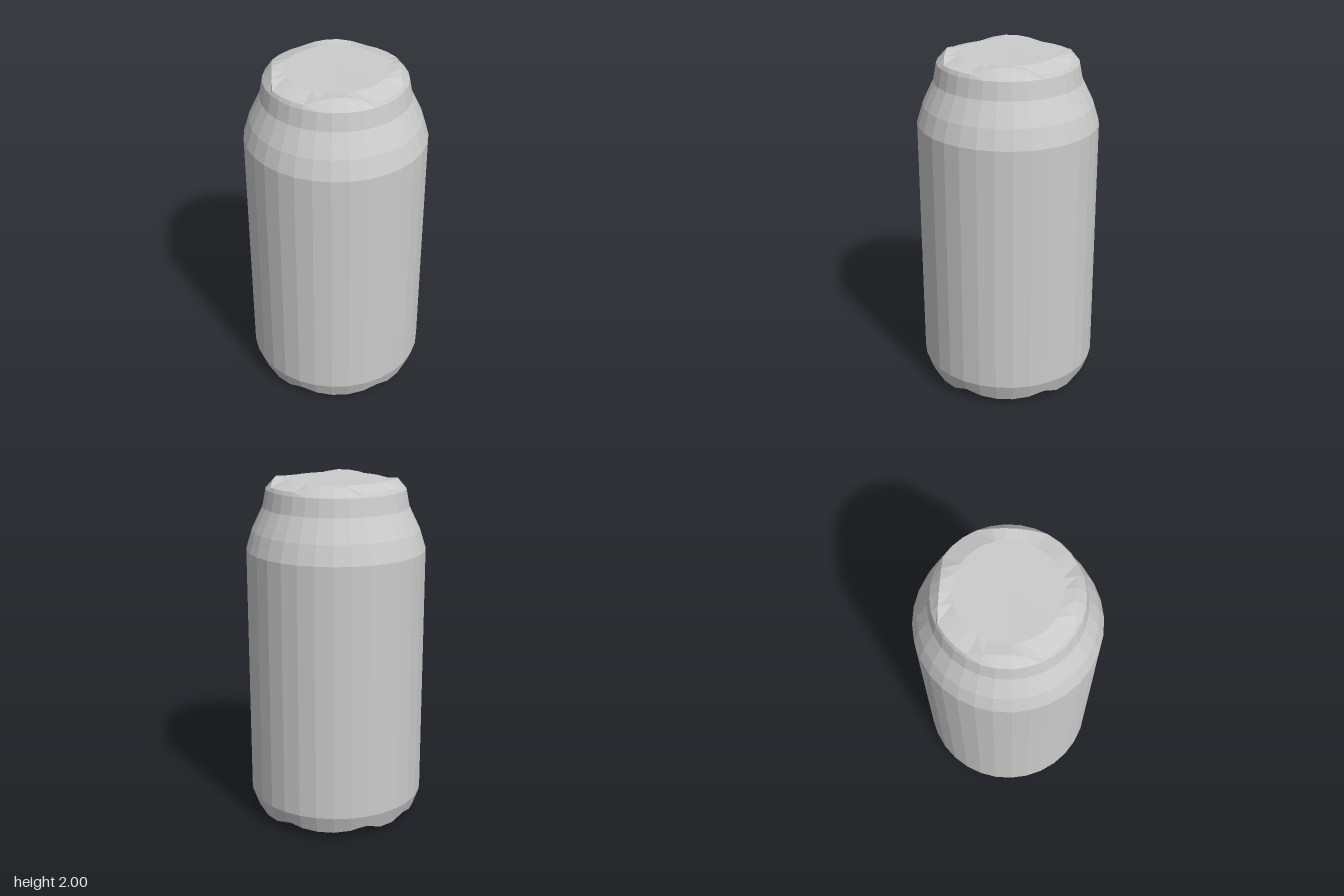
import * as THREE from 'three';

const SIDES = 32;

// Angle from the nearest axis, folded into 0..45 degrees
function fold(angle) {
  const quarter = Math.PI / 2;
  const a = ((angle % quarter) + quarter) % quarter;
  return Math.min(a, quarter - a);
}

// Squarish rim of the lid, dipping slightly at its corners
function lidRim(angle) {
  const r = Math.min(0.342 / Math.cos(fold(angle)), 0.385);
  return [r, 2 - (r - 0.342) * 0.9];
}

// Zigzag rim of the base
function baseRim(angle) {
  const step = Math.round(fold(angle) / (2 * Math.PI / SIDES) - 0.5);
  const y = [0.035, 0.045, 0.07, 0.035][step] ?? 0.035;
  return [0.475 + (y - 0.035) * 0.35, y];
}

// Faceted turned part: each profile entry is [radius, height] or a rule by angle
function turned(name, profile, material) {
  const points = profile.map(() => new THREE.Vector2(1, 0));
  const geometry = new THREE.LatheGeometry(points, SIDES, Math.PI / SIDES);
  const pos = geometry.attributes.position;
  for (let i = 0; i < pos.count; i++) {
    const entry = profile[i % profile.length];
    const angle = (Math.floor(i / profile.length) + 0.5) * 2 * Math.PI / SIDES;
    const [r, y] = typeof entry === 'function' ? entry(angle) : entry;
    pos.setXYZ(i, Math.sin(angle) * r, y, Math.cos(angle) * r);
  }
  geometry.computeVertexNormals();
  const mesh = new THREE.Mesh(geometry, material);
  mesh.name = name;
  return mesh;
}

export function createModel() {
  const group = new THREE.Group();
  group.name = 'can';
  const metal = new THREE.MeshStandardMaterial({ color: 0xcccccc, flatShading: true });

  // Underside, shallowly rounded towards its rim
  group.add(turned('base', [[0, 0], [0.25, 0], [0.39, 0.008], baseRim], metal));

  // Lower bevel, straight wall and tapered shoulder
  group.add(turned('body', [
    baseRim, [0.512, 0.14], [0.512, 1.6], [0.478, 1.71],
    [0.415, 1.84], [0.396, 1.94], lidRim,
  ], metal));

  // Nearly flat lid
  group.add(turned('lid', [lidRim, [0.28, 1.992], [0, 1.99]], metal));

  return group;
}
